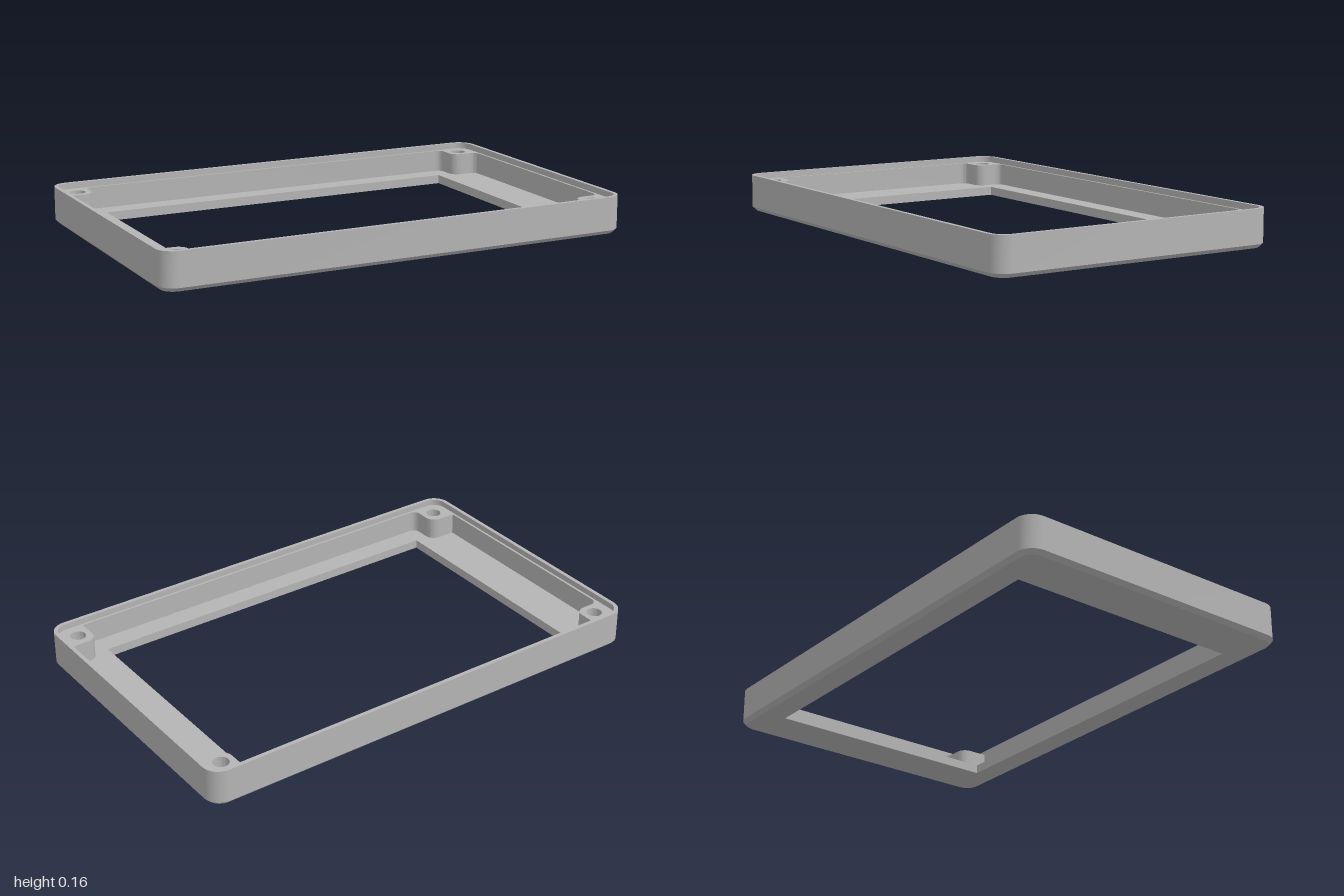
import * as THREE from 'three';
import { toCreasedNormals } from 'three/addons/utils/BufferGeometryUtils.js';

// Heights
const H = 0.155, LEDGE = 0.13, FLOOR = 0.037, CHAMFER = 0.017;

// Right-angled outline from [x, v, radius] corners (counter-clockwise, v = -z)
function outline(corners, steps = 8) {
  const out = [];
  corners.forEach(([x, v, r], i) => {
    const p = new THREE.Vector2(x, v);
    if (!r) { out.push(p); return; }
    const toward = (k) => {
      const c = corners[(k + corners.length) % corners.length];
      return new THREE.Vector2(c[0], c[1]).sub(p).normalize();
    };
    const u1 = toward(i - 1), u2 = toward(i + 1);
    for (let s = 0; s <= steps; s++) {
      const t = (s / steps) * Math.PI / 2;
      out.push(p.clone()
        .addScaledVector(u1, r * (1 - Math.sin(t)))
        .addScaledVector(u2, r * (1 - Math.cos(t))));
    }
  });
  return out;
}

const rect = (w, d, r) => outline([[w, -d, r], [w, d, r], [-w, d, r], [-w, -d, r]]);

function circle(cx, cv, r, n = 32) {
  return Array.from({ length: n }, (_, i) => {
    const a = (i / n) * Math.PI * 2;
    return new THREE.Vector2(cx + r * Math.cos(a), cv + r * Math.sin(a));
  });
}

// Wall between two matching outlines; inward walls face the middle
function wall(low, yLow, high, yHigh, inward = false) {
  const pos = [], n = low.length;
  const put = (p, y) => pos.push(p.x, y, -p.y);
  for (let i = 0; i < n; i++) {
    const j = (i + 1) % n;
    const quad = [[low[i], yLow], [low[j], yLow], [high[j], yHigh], [high[i], yHigh]];
    const order = inward ? [0, 2, 1, 0, 3, 2] : [0, 1, 2, 0, 2, 3];
    order.forEach((k) => put(...quad[k]));
  }
  const g = new THREE.BufferGeometry();
  g.setAttribute('position', new THREE.Float32BufferAttribute(pos, 3));
  return toCreasedNormals(g, 0.5);
}

// Flat horizontal face with holes
function face(points, holes, y, down = false) {
  const shape = new THREE.Shape(points);
  shape.holes = holes.map((h) => new THREE.Path(h));
  const g = new THREE.ShapeGeometry(shape);
  if (down) {
    // mirrored outline turned over so that it faces the ground
    const index = g.index.array;
    for (let i = 0; i < index.length; i += 3) {
      [index[i + 1], index[i + 2]] = [index[i + 2], index[i + 1]];
    }
    const nrm = g.attributes.normal;
    for (let i = 0; i < nrm.count; i++) nrm.setZ(i, -1);
  }
  return g.rotateX(-Math.PI / 2).translate(0, y, 0);
}

export function createModel() {
  const model = new THREE.Group();
  model.name = 'bezelFrame';
  const grey = new THREE.MeshStandardMaterial({ color: 0xb4b4b4 });
  grey.name = 'plain grey';
  const add = (name, geometry) => {
    const mesh = new THREE.Mesh(geometry, grey);
    mesh.name = name;
    model.add(mesh);
  };

  const outer = rect(1, 0.625, 0.07);
  const foot = rect(1 - CHAMFER, 0.625 - CHAMFER, 0.07 - CHAMFER);
  const rabbet = rect(0.983, 0.608, 0.053);
  const opening = rect(0.795, 0.51, 0);

  // Cavity outline, stepping around the four corner bosses
  const W = 0.973, D = 0.598, BX = 0.855, BV = 0.483, R = 0.042, F = 0.028;
  const cavity = outline([
    [W, BV, F], [BX, BV, R], [BX, D, F],
    [-BX, D, F], [-BX, BV, R], [-W, BV, F],
    [-W, -BV + 0.008, 0], [-BX, -BV + 0.008, R], [-BX, -D, F],
    [BX, -D, 0], [BX, -BV + 0.008, R], [W, -BV + 0.008, F],
  ]);

  // Screw holes, one in each boss
  const screwHoles = [];
  for (const sx of [-1, 1]) {
    for (const sv of [-1, 1]) screwHoles.push(circle(sx * 0.91, sv * 0.537, 0.032));
  }

  // Outer shell
  add('outerWall', wall(outer, CHAMFER, outer, H));
  add('bottomChamfer', wall(foot, 0, outer, CHAMFER));
  add('bottomFace', face(foot, [opening], 0, true));

  // Rim and the recessed ledge that joins the boss tops
  add('rimTop', face(outer, [rabbet], H));
  add('rimInnerWall', wall(rabbet, LEDGE, rabbet, H, true));
  add('ledgeAndBossTops', face(rabbet, [cavity, ...screwHoles], LEDGE));

  // Inside of the tray
  add('cavityWall', wall(cavity, FLOOR, cavity, LEDGE, true));
  add('floor', face(cavity, [opening], FLOOR));
  add('windowEdge', wall(opening, 0, opening, FLOOR, true));

  for (const hole of screwHoles) {
    add('screwHoleWall', wall(hole, FLOOR, hole, LEDGE, true));
    add('screwHoleFloor', face(hole, [], FLOOR));
  }
  return model;
}
